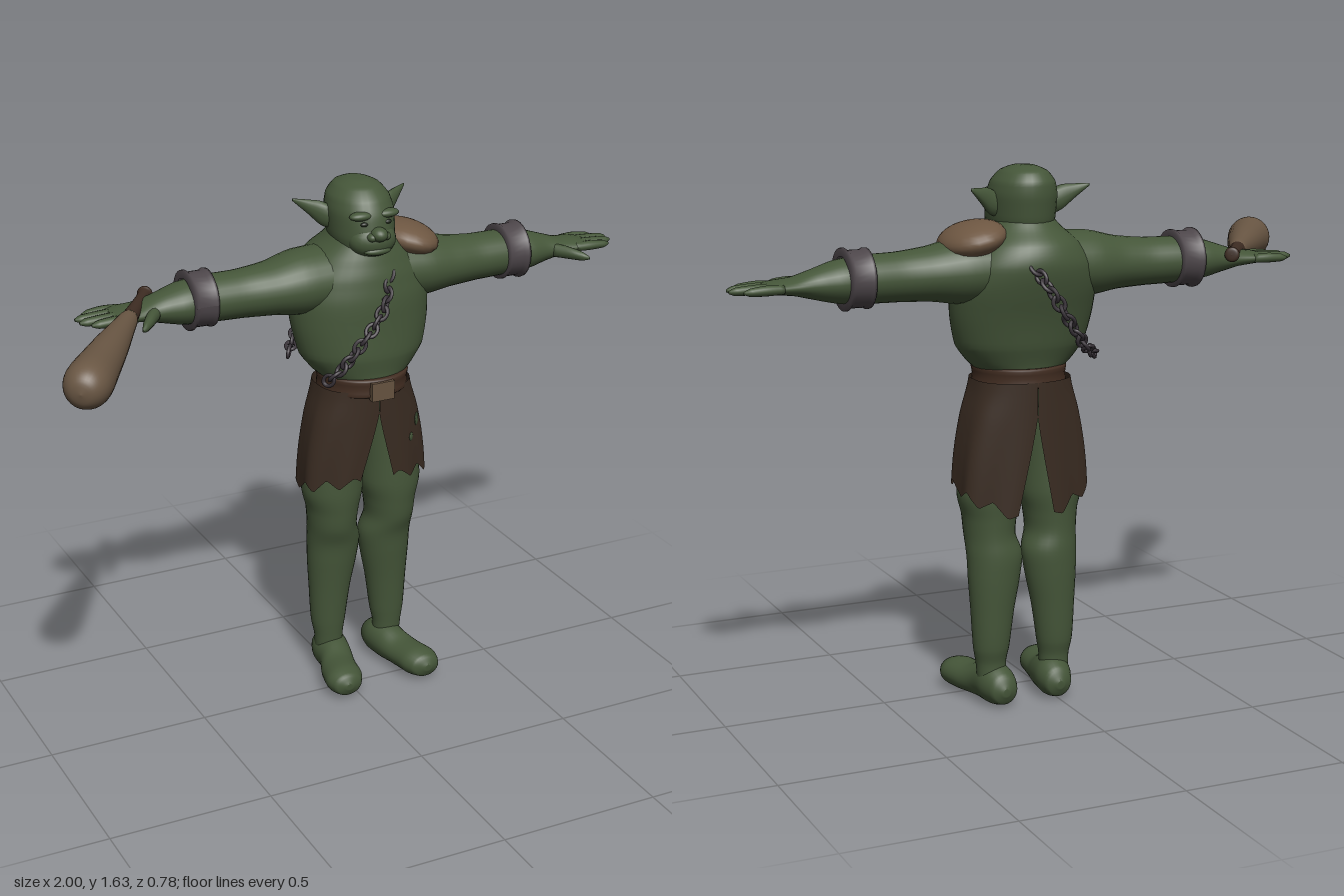
import * as THREE from 'three';

const mat = (name, color, side = THREE.FrontSide) => {
  const m = new THREE.MeshStandardMaterial({ color, side });
  m.name = name;
  return m;
};

// Indexed grid of rows x cols; closed grids wrap around the columns and get end caps
function grid(rows, cols, point, closed) {
  const pos = [], idx = [];
  for (let i = 0; i < rows; i++) for (let j = 0; j < cols; j++) pos.push(...point(i, j));
  for (let i = 0; i < rows - 1; i++) {
    for (let j = 0; j < (closed ? cols : cols - 1); j++) {
      const k = (j + 1) % cols, a = i * cols, b = a + cols;
      idx.push(a + j, b + j, a + k, b + j, b + k, a + k);
    }
  }
  if (closed) {
    for (let j = 1; j < cols - 1; j++) {
      const e = (rows - 1) * cols;
      idx.push(0, j, j + 1, e, e + j + 1, e + j);
    }
  }
  const g = new THREE.BufferGeometry();
  g.setAttribute('position', new THREE.Float32BufferAttribute(pos, 3));
  g.setIndex(idx);
  g.computeVertexNormals();
  return g;
}

// Smooth loft through ellipses [x, y, z, ru, rv], ordered along +axis
// Radii: axis y -> (x, z), axis x -> (z, y), axis z -> (y, x)
function loft(sections, axis, cols = 28, steps = 5) {
  const centre = new THREE.CatmullRomCurve3(sections.map(s => new THREE.Vector3(s[0], s[1], s[2])));
  const radii = new THREE.CatmullRomCurve3(sections.map(s => new THREE.Vector3(s[3], s[4], 0)));
  const rows = (sections.length - 1) * steps + 1;
  return grid(rows, cols, (i, j) => {
    const c = centre.getPoint(i / (rows - 1)), r = radii.getPoint(i / (rows - 1));
    const a = j / cols * Math.PI * 2;
    const u = r.x * Math.cos(a), v = r.y * Math.sin(a);
    if (axis === 'y') return [c.x + u, c.y, c.z + v];
    if (axis === 'x') return [c.x, c.y + v, c.z + u];
    return [c.x + v, c.y + u, c.z];
  }, true);
}

// Mirror in x with the corner order restored
function mirror(geo) {
  const g = geo.clone().scale(-1, 1, 1), ix = g.index;
  for (let i = 0; i < ix.count; i += 3) {
    const t = ix.getX(i + 1);
    ix.setX(i + 1, ix.getX(i + 2));
    ix.setX(i + 2, t);
  }
  g.computeVertexNormals();
  return g;
}

export function createModel() {
  const skin = mat('skin green', 0x455639);
  const eyeDark = mat('eye dark', 0x1f261b);
  const leather = mat('skirt leather', 0x3a2c22, THREE.DoubleSide);
  const beltMat = mat('belt leather', 0x432e22);
  const buckleMat = mat('buckle tan', 0x65523f);
  const padMat = mat('shoulder leather', 0x6e5742);
  const wood = mat('club wood', 0x6a5744);
  const wrap = mat('handle wrap', 0x3d2c22);
  const bracerMat = mat('bracer grey', 0x4d464a, THREE.DoubleSide);
  const chainMat = mat('chain iron', 0x3a343a);

  const root = new THREE.Group();
  const body = new THREE.Group();
  body.name = 'body';
  body.position.x = 0.095;
  root.add(body);

  const add = (name, geo, m, parent = body) => {
    const mesh = new THREE.Mesh(geo, m);
    mesh.name = name;
    parent.add(mesh);
    return mesh;
  };
  const pair = (name, geo, m) => {
    add('left ' + name, geo, m);
    add('right ' + name, mirror(geo), m);
  };
  const blob = (x, y, z, rx, ry, rz) =>
    new THREE.SphereGeometry(1, 24, 16).scale(rx, ry, rz).translate(x, y, z);

  // Torso
  add('torso', loft([
    [0, 0.92, -0.1, 0.11, 0.09], [0, 1.02, -0.1, 0.125, 0.12], [0, 1.06, -0.103, 0.165, 0.128],
    [0, 1.11, -0.108, 0.202, 0.14], [0, 1.2, -0.12, 0.222, 0.15], [0, 1.28, -0.133, 0.225, 0.162],
    [0, 1.35, -0.145, 0.205, 0.165], [0, 1.41, -0.145, 0.16, 0.15], [0, 1.455, -0.13, 0.11, 0.12],
    [0, 1.5, -0.12, 0.075, 0.09]], 'y', 40), skin);

  // Arms, fingers and thumbs
  pair('arm', loft([
    [0.06, 1.34, -0.14, 0.12, 0.1], [0.2, 1.335, -0.135, 0.115, 0.098], [0.3, 1.33, -0.13, 0.094, 0.08],
    [0.4, 1.327, -0.132, 0.08, 0.072], [0.5, 1.327, -0.135, 0.08, 0.07], [0.58, 1.325, -0.135, 0.078, 0.062],
    [0.65, 1.322, -0.135, 0.06, 0.043], [0.71, 1.32, -0.135, 0.06, 0.026], [0.77, 1.32, -0.135, 0.064, 0.019],
    [0.8, 1.32, -0.135, 0.056, 0.012]], 'x'), skin);
  [[-0.186, 0.865], [-0.152, 0.898], [-0.118, 0.895], [-0.085, 0.87]].forEach(([z, tip], i) => {
    pair('finger ' + (i + 1), loft([
      [0.75, 1.32, z, 0.014, 0.013], [0.8, 1.32, z, 0.018, 0.015], [tip - 0.02, 1.318, z, 0.015, 0.012],
      [tip, 1.317, z, 0.004, 0.004]], 'x', 12, 4), skin);
  });
  pair('thumb', loft([
    [0.66, 1.32, -0.11, 0.03, 0.022], [0.7, 1.318, -0.06, 0.03, 0.02], [0.73, 1.313, -0.022, 0.02, 0.015],
    [0.747, 1.31, 0, 0.005, 0.005]], 'x', 14, 4), skin);

  // Bracers
  const bracer = new THREE.LatheGeometry([[0.066, -0.038], [0.09, -0.038], [0.091, -0.03], [0.083, -0.02],
    [0.083, 0.02], [0.088, 0.03], [0.087, 0.038], [0.066, 0.038]].map(p => new THREE.Vector2(...p)), 32)
    .rotateZ(Math.PI / 2).translate(0.525, 1.33, -0.136);
  pair('bracer', bracer, bracerMat);

  // Legs and feet
  pair('leg', loft([
    [0.103, 0.06, -0.13, 0.044, 0.04], [0.105, 0.13, -0.125, 0.047, 0.042], [0.105, 0.18, -0.128, 0.056, 0.05],
    [0.1, 0.3, -0.127, 0.068, 0.06], [0.093, 0.4, -0.124, 0.081, 0.07], [0.09, 0.47, -0.12, 0.086, 0.076],
    [0.1, 0.53, -0.108, 0.078, 0.083], [0.1, 0.59, -0.105, 0.083, 0.088], [0.1, 0.66, -0.105, 0.098, 0.093],
    [0.096, 0.76, -0.105, 0.095, 0.092], [0.08, 0.9, -0.105, 0.085, 0.09], [0.06, 1, -0.1, 0.065, 0.08]], 'y'), skin);
  pair('foot', loft([
    [0.09, 0.055, -0.212, 0.012, 0.012], [0.09, 0.058, -0.195, 0.045, 0.042], [0.095, 0.065, -0.14, 0.063, 0.058],
    [0.102, 0.06, -0.08, 0.057, 0.056], [0.12, 0.052, -0.02, 0.046, 0.06], [0.133, 0.052, 0.045, 0.046, 0.062],
    [0.138, 0.05, 0.09, 0.036, 0.046], [0.14, 0.05, 0.105, 0.01, 0.012]], 'z'), skin);

  // Head, face and ears
  add('head', loft([
    [0, 1.405, -0.1, 0.05, 0.07], [0, 1.43, -0.105, 0.085, 0.11], [0, 1.48, -0.112, 0.099, 0.125],
    [0, 1.54, -0.122, 0.101, 0.124], [0, 1.585, -0.132, 0.092, 0.113], [0, 1.617, -0.138, 0.066, 0.085],
    [0, 1.632, -0.14, 0.03, 0.04], [0, 1.634, -0.14, 0.004, 0.005]], 'y', 32), skin);
  add('muzzle', blob(0, 1.468, -0.035, 0.076, 0.055, 0.058), skin);
  add('nose', blob(0, 1.495, 0.012, 0.026, 0.022, 0.03), skin);
  add('lower lip', blob(0, 1.443, 0.002, 0.045, 0.014, 0.022), skin);
  pair('nostril', blob(0.023, 1.488, 0.01, 0.015, 0.013, 0.019), skin);
  pair('brow', blob(0.043, 1.548, -0.02, 0.038, 0.014, 0.022), skin);
  pair('eye', blob(0.038, 1.525, -0.007, 0.013, 0.007, 0.008), eyeDark);
  pair('ear', loft([
    [0.07, 1.515, -0.135, 0.025, 0.034], [0.108, 1.53, -0.145, 0.022, 0.038], [0.15, 1.553, -0.168, 0.014, 0.021],
    [0.187, 1.572, -0.19, 0.003, 0.004]], 'x', 16), skin);

  // Shoulder pad
  const pad = add('shoulder pad', blob(0, 0, 0, 0.1, 0.052, 0.125), padMat);
  pad.position.set(0.167, 1.425, -0.143);
  pad.rotation.z = -0.25;

  // Belt and buckle
  add('belt', loft([[0, 0.985, -0.1, 0.136, 0.13], [0, 0.992, -0.1, 0.142, 0.14], [0, 1.015, -0.1, 0.139, 0.138],
    [0, 1.038, -0.1, 0.143, 0.142], [0, 1.045, -0.1, 0.135, 0.135]], 'y', 36, 2), beltMat);
  add('buckle', new THREE.BoxGeometry(0.075, 0.058, 0.02).translate(0, 1.01, 0.04), buckleMat);

  // Ragged skirt: one sheet per side, slit at the front and back
  const rx = new THREE.SplineCurve([[0, 0.148], [0.35, 0.178], [0.7, 0.198], [1, 0.207]].map(p => new THREE.Vector2(...p)));
  const skirtPoint = (s, t) => {
    const rag = Math.abs(((t * 5 + 0.3) % 1) - 0.5) * 0.07;
    const hem = 0.7 - 0.1 * t * t - rag + 0.02;
    const y = 1.005 + (hem - 1.005) * s;
    const slit = Math.max(0, s - 0.28) * 0.38 + 0.004;
    const a = slit + (Math.PI - 2 * slit) * t;
    const c = Math.cos(a), fold = 1 + 0.025 * s * Math.sin(t * 21);
    return [rx.getPoint(s).y * Math.sin(a) * fold, y,
      -0.108 + Math.sign(c) * Math.abs(c) ** 0.75 * (0.134 - 0.012 * s) * fold];
  };
  pair('skirt side', grid(16, 61, (i, j) => skirtPoint(i / 15, j / 60), false), leather);

  // Torn holes showing skin
  [[0.44, 0.3, 0.022], [0.62, 0.2, 0.014]].forEach(([s, t, r], i) => {
    const p = new THREE.Vector3(...skirtPoint(s, t));
    const hole = add('skirt hole ' + (i + 1), new THREE.SphereGeometry(1, 9, 6).scale(r * 0.8, r, 0.004), skin);
    hole.position.copy(p);
    hole.rotation.y = Math.atan2(p.x * 0.6, p.z + 0.108);
  });

  // Chain across the chest and back
  const link = new THREE.TorusGeometry(0.016, 0.0058, 8, 16).scale(1.3, 1, 1);
  const chain = (name, pts) => {
    const group = new THREE.Group();
    group.name = name;
    body.add(group);
    const curve = new THREE.CatmullRomCurve3(pts.map(p => new THREE.Vector3(...p)));
    const n = Math.round(curve.getLength() / 0.031);
    for (let i = 0; i <= n; i++) {
      const m = add('chain link', link, chainMat, group);
      m.position.copy(curve.getPointAt(i / n));
      m.quaternion.setFromUnitVectors(new THREE.Vector3(1, 0, 0), curve.getTangentAt(i / n));
      m.rotateX(0.4 + (i % 2) * Math.PI / 2);
    }
  };
  chain('front chain', [[0.04, 1.36, 0], [0, 1.27, 0.045], [-0.087, 1.17, 0.06], [-0.15, 1.085, 0.035], [-0.165, 1.06, 0.01]]);
  chain('back chain', [[0.035, 1.35, -0.3], [0, 1.27, -0.365], [-0.06, 1.18, -0.355], [-0.13, 1.11, -0.3], [-0.19, 1.08, -0.22]]);

  // Club with a wrapped handle
  const club = new THREE.Group();
  club.name = 'club';
  root.add(club);
  const turned = (name, pts, m) => add(name, new THREE.LatheGeometry(
    new THREE.SplineCurve(pts.map(p => new THREE.Vector2(...p))).getPoints(40), 28), m, club);
  turned('club handle', [[0, 0], [0.018, 0.002], [0.023, 0.012], [0.018, 0.03], [0.019, 0.1], [0.024, 0.2]], wrap);
  turned('club head', [[0.018, 0.198], [0.027, 0.21], [0.036, 0.29], [0.05, 0.42], [0.061, 0.55], [0.068, 0.65],
    [0.06, 0.7], [0.036, 0.73], [0, 0.74]], wood);
  const from = new THREE.Vector3(-0.555, 1.342, -0.225);
  const dir = new THREE.Vector3(-0.977, 1.308, 0.383).sub(from).normalize();
  club.position.copy(from);
  club.quaternion.setFromUnitVectors(new THREE.Vector3(0, 1, 0), dir);

  return root;
}
